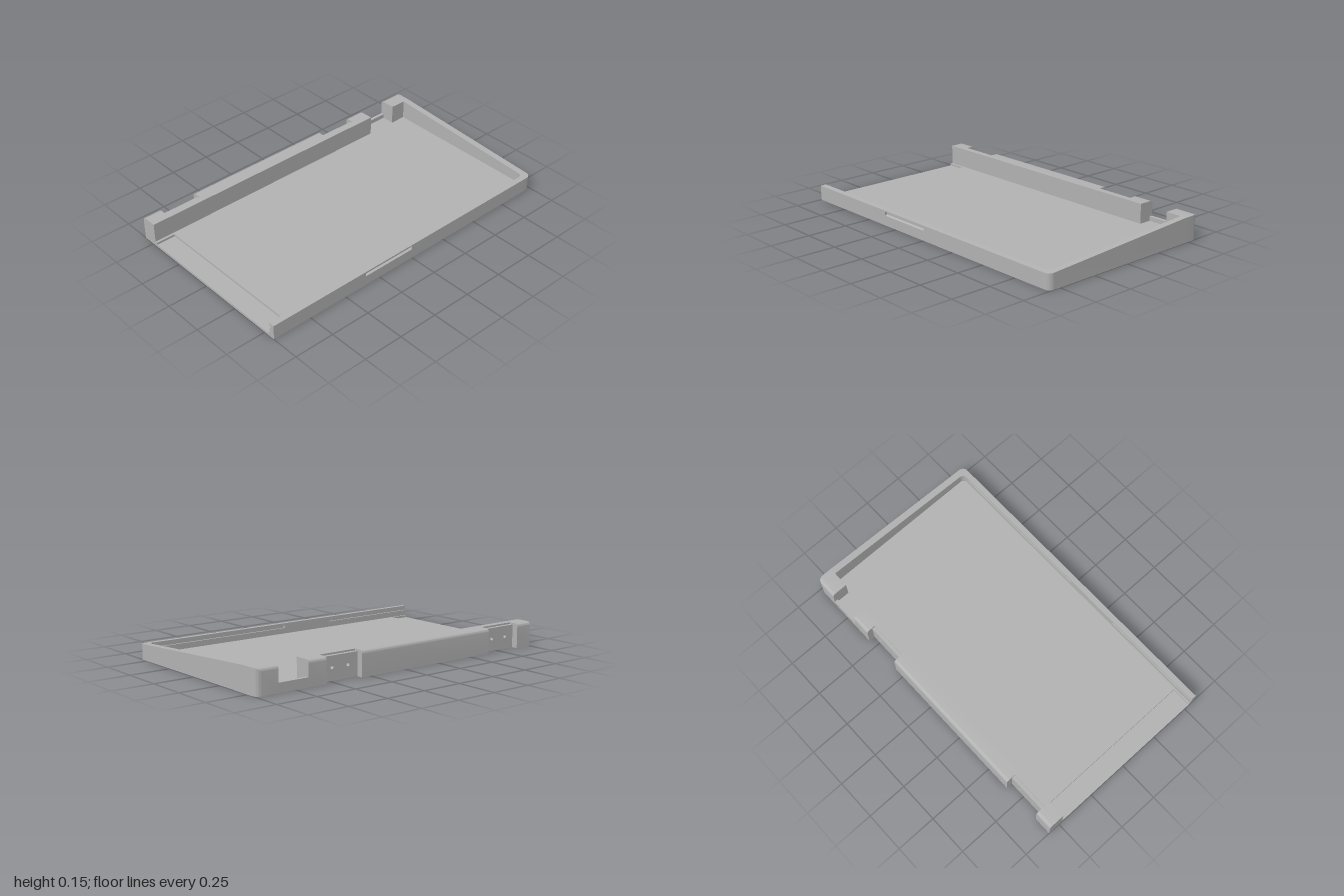
import * as THREE from 'three';
import { toCreasedNormals } from 'three/addons/utils/BufferGeometryUtils.js';

const BACK = -0.575, FRONT = 0.575, INNER_BACK = -0.475, INNER_FRONT = 0.54;
const TOP = 0.148, LOW = 0.09, FLOOR = 0.028, STRIP = 0.015, ROUND = 0.02;

// Height of the sloping rim at depth z
const rimY = z => Math.min(TOP, LOW + (FRONT - z) / (FRONT - INNER_BACK) * (TOP - LOW));

export function createModel() {
  const group = new THREE.Group();
  const grey = new THREE.MeshStandardMaterial({ color: 0xb2b2b2 });
  grey.name = 'grey plastic';

  const add = (name, geometry) => {
    const mesh = new THREE.Mesh(toCreasedNormals(geometry, 0.6), grey);
    mesh.name = name;
    group.add(mesh);
  };
  const box = (name, x0, x1, y0, y1, z0, z1) => {
    const g = new THREE.BoxGeometry(x1 - x0, y1 - y0, z1 - z0);
    g.translate((x0 + x1) / 2, (y0 + y1) / 2, (z0 + z1) / 2);
    add(name, g);
  };
  // Plan outlines are drawn as (x, -z) and extruded upwards
  const planShape = pts => new THREE.Shape(pts.map(([x, z]) => new THREE.Vector2(x, -z)));
  const raise = (shape, depth, steps = 1) => {
    const g = new THREE.ExtrudeGeometry(shape, { depth, steps, bevelEnabled: false });
    g.rotateX(-Math.PI / 2);
    return g;
  };
  const arc = (cx, cz, r, a0, a1, n = 8) => Array.from({ length: n + 1 }, (_, i) => {
    const a = a0 + (a1 - a0) * i / n;
    return [cx + r * Math.cos(a), cz + r * Math.sin(a)];
  });
  // Profiles are drawn as (z, y) and extruded along x
  const alongX = (name, pts, x0, x1) => {
    const shape = new THREE.Shape(pts.map(([z, y]) => new THREE.Vector2(-z, y)));
    const g = new THREE.ExtrudeGeometry(shape, { depth: x1 - x0, bevelEnabled: false });
    g.rotateY(Math.PI / 2);
    g.translate(x0, 0, 0);
    add(name, g);
  };

  // Floor: thin base with a raised layer that leaves a sunken strip at the open end
  const innerCorner = arc(0.93, 0.51, 0.03, 0, Math.PI / 2);
  const floorOutline = x0 => planShape([[x0, INNER_BACK], [0.96, INNER_BACK], ...innerCorner, [x0, INNER_FRONT]]);
  add('floorBase', raise(floorOutline(-1), STRIP));
  const upper = raise(floorOutline(-0.88), FLOOR - STRIP);
  upper.translate(0, STRIP, 0);
  add('floor', upper);
  box('stripEdgeBack', -1, -0.88, STRIP, FLOOR, INNER_BACK, -0.46);
  box('stripEdgeFront', -1, -0.88, STRIP, FLOOR, 0.53, INNER_FRONT);

  // Right wall with the rounded front corner, its top following the slope
  const side = raise(planShape([
    [0.96, INNER_BACK], [1, INNER_BACK], ...arc(0.965, 0.54, 0.035, 0, Math.PI / 2),
    [0.92, FRONT], [0.92, INNER_FRONT], ...innerCorner.slice().reverse(),
  ]), 1);
  const sp = side.attributes.position;
  for (let i = 0; i < sp.count; i++) if (sp.getY(i) > 0.5) sp.setY(i, rimY(sp.getZ(i)));
  add('sideWall', side);

  // Front wall: inner groove on both runs, finger slot between them
  const grooved = [
    [FRONT, 0], [FRONT, LOW], [INNER_FRONT, rimY(INNER_FRONT)], [INNER_FRONT, 0.078],
    [0.552, 0.078], [0.552, 0.062], [INNER_FRONT, 0.062], [INNER_FRONT, 0],
  ];
  alongX('frontWall', grooved, -1, -0.35);
  alongX('frontWall', grooved, 0, 0.92);
  alongX('fingerSlot', [
    [FRONT, 0], [FRONT, 0.06], [0.562, 0.065], [0.562, 0.082], [FRONT, 0.084],
    [FRONT, LOW], [INNER_FRONT, rimY(INNER_FRONT)], [INNER_FRONT, 0],
  ], -0.35, 0);

  // Back blocks: plan outline raised in layers, with the rear top edge rounded over
  const backBlock = (name, pts) => {
    const n = 7, g = raise(planShape(pts), n, n), p = g.attributes.position;
    for (let i = 0; i < p.count; i++) {
      const k = Math.round(p.getY(i));
      const a = Math.max(0, k - 1) / (n - 1) * Math.PI / 2;
      p.setY(i, k === 0 ? 0 : TOP - ROUND + ROUND * Math.sin(a));
      p.setZ(i, Math.max(p.getZ(i), BACK + ROUND * (1 - Math.cos(a))));
    }
    g.computeVertexNormals();
    add(name, g);
  };
  const backRect = (name, x0, x1, z0 = BACK) =>
    backBlock(name, [[x0, z0], [x1, z0], [x1, INNER_BACK], [x0, INNER_BACK]]);
  backRect('backWall', -1, -0.89);
  backRect('backWall', -0.65, 0.31);
  backRect('backWall', 0.55, 0.67);
  backBlock('cornerPost', [
    [0.86, BACK], ...arc(0.965, -0.54, 0.035, -Math.PI / 2, 0), [1, INNER_BACK], [0.86, INNER_BACK],
  ]);

  // Hinge pockets: recessed plates with two screw holes each
  for (const [x0, x1] of [[-0.89, -0.65], [0.31, 0.55]]) {
    backRect('hingePocket', x0, x1, -0.515);
    const plate = new THREE.Shape([
      new THREE.Vector2(x0, 0), new THREE.Vector2(x1, 0),
      new THREE.Vector2(x1, TOP - 0.01), new THREE.Vector2(x0, TOP - 0.01),
    ]);
    for (const dx of [-0.055, 0.055]) {
      const hole = new THREE.Path();
      hole.absarc((x0 + x1) / 2 + dx, 0.075, 0.011, 0, Math.PI * 2, true);
      plate.holes.push(hole);
    }
    const g = new THREE.ExtrudeGeometry(plate, { depth: 0.022, bevelEnabled: false, curveSegments: 12 });
    g.translate(0, 0, -0.537);
    add('hingePlate', g);
  }

  // Cable notch: low sill with the floor running up to it
  box('notchSill', 0.67, 0.86, 0, 0.055, BACK, -0.555);
  box('notchFloor', 0.67, 0.86, 0, FLOOR, -0.555, INNER_BACK);

  return group;
}
